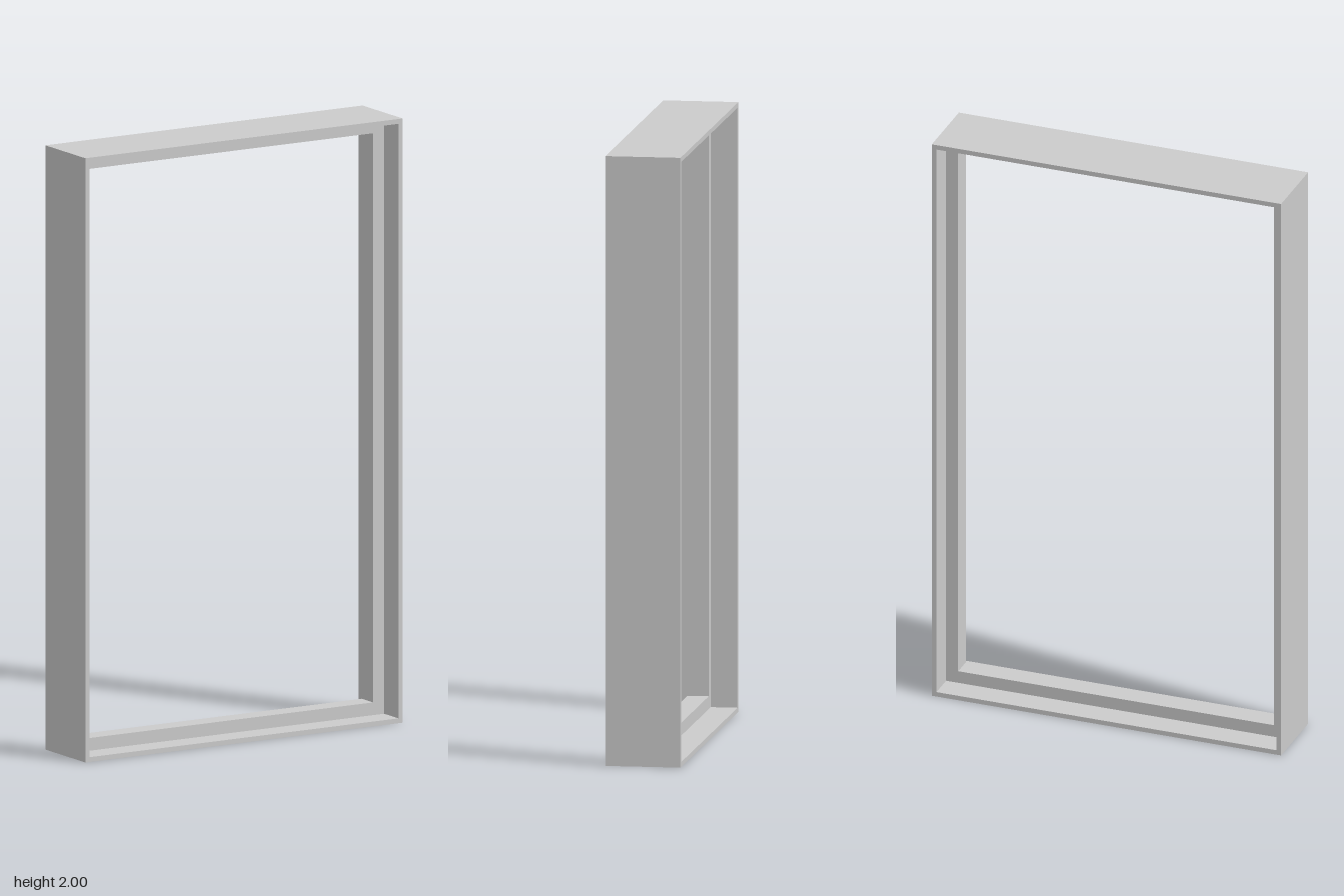
import * as THREE from 'three';

const WIDTH = 1.212, HEIGHT = 2, DEPTH = 0.246;
const WALL = 0.016;       // thickness of the outer casing
const LIP = 0.058;        // how far the stop reaches in from the outside
const LIP_DEPTH = 0.07;

// Corners of a rectangle inset from the outer outline
function corners(inset) {
  const x = WIDTH / 2 - inset, y = HEIGHT / 2 - inset;
  return [[-x, -y], [x, -y], [x, y], [-x, y]].map(([a, b]) => new THREE.Vector2(a, b));
}

// Rectangular ring between two insets, centred on z = 0
function ring(name, outerInset, innerInset, depth, material) {
  const shape = new THREE.Shape(corners(outerInset));
  shape.holes.push(new THREE.Path(corners(innerInset).reverse()));
  const geometry = new THREE.ExtrudeGeometry(shape, { depth, bevelEnabled: false });
  geometry.translate(0, HEIGHT / 2, -depth / 2);
  const mesh = new THREE.Mesh(geometry, material);
  mesh.name = name;
  return mesh;
}

export function createModel() {
  const material = new THREE.MeshStandardMaterial({ color: 0xcccccc, flatShading: true });
  const group = new THREE.Group();
  group.name = 'frame';

  // Thin, deep casing around the opening
  group.add(ring('outerCasing', 0, WALL, DEPTH, material));

  // Narrower stop running around the middle of the casing
  group.add(ring('innerStop', WALL, LIP, LIP_DEPTH, material));

  return group;
}
